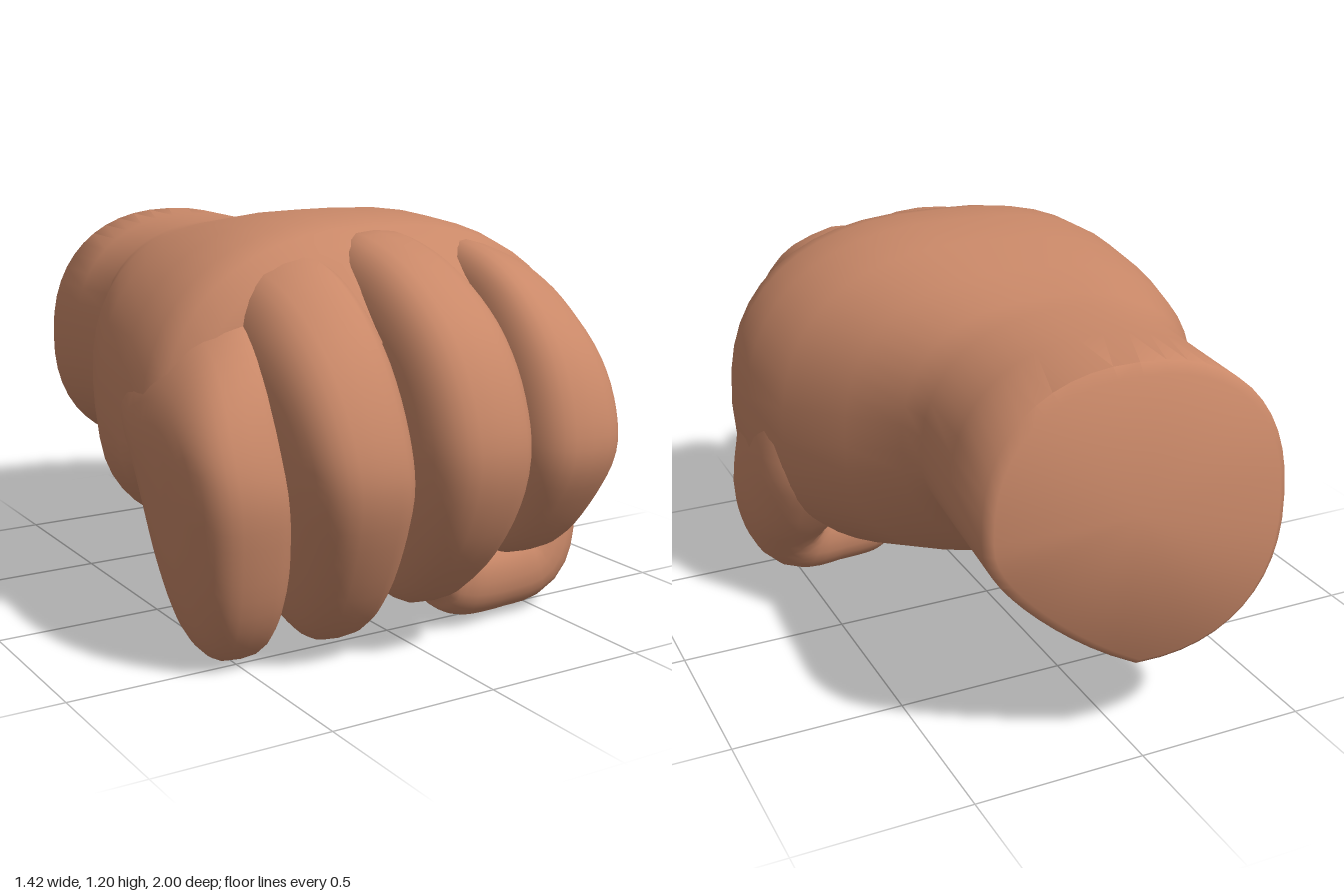
import * as THREE from 'three';
import { toCreasedNormals } from 'three/addons/utils/BufferGeometryUtils.js';

const V = (x, y, z) => new THREE.Vector3(x, y, z);
const spow = (v, e) => Math.sign(v) * Math.abs(v) ** e;

// Skin through closed rings of equal length, with a centre point closing each end.
function loft(rings) {
  const n = rings[0].length;
  const centre = r => r.reduce((s, p) => s.add(p), V(0, 0, 0)).divideScalar(n);
  const first = centre(rings[0]), last = centre(rings.at(-1));
  const pts = [...rings.flat(), first, last];
  const pole = rings.length * n;
  const tris = [];
  for (let j = 0; j < n; j++) {
    const k = (j + 1) % n;
    for (let i = 0; i < rings.length - 1; i++) {
      const a = i * n + j, b = i * n + k, c = a + n, d = b + n;
      tris.push([a, b, d], [a, d, c]);
    }
    const e = pole - n;
    tris.push([pole, k, j], [pole + 1, e + j, e + k]);
  }
  // Turn the faces outward if the enclosed volume is negative
  let volume = 0;
  for (const [a, b, c] of tris) volume += pts[a].dot(V(0, 0, 0).crossVectors(pts[b], pts[c]));
  if (volume < 0) tris.forEach(t => t.reverse());
  const geo = new THREE.BufferGeometry().setFromPoints(pts);
  geo.setIndex(tris.flat());
  return toCreasedNormals(geo, 0.95);
}

// Wrist, palm and knuckle dome: rounded sections along z, slanted across the hand
function palmGeometry() {
  // z, left x, right x, bottom y, middle y, top y, lift of one lower corner (+ right, - left)
  const sections = [
    [-0.96, -0.39, 0.41, 0.30, 0.70, 1.09, 0.2],
    [-0.94, -0.415, 0.435, 0.28, 0.70, 1.12, 0.2],
    [-0.70, -0.43, 0.42, 0.31, 0.71, 1.12, 0.2],
    [-0.47, -0.445, 0.40, 0.35, 0.73, 1.12, 0.15],
    [-0.38, -0.48, 0.42, 0.32, 0.72, 1.125, 0.1],
    [-0.20, -0.58, 0.52, 0.27, 0.68, 1.155, 0],
    [0.00, -0.65, 0.64, 0.205, 0.63, 1.19, 0],
    [0.18, -0.69, 0.695, 0.22, 0.60, 1.21, -0.08],
    [0.34, -0.70, 0.69, 0.30, 0.60, 1.20, -0.12],
    [0.43, -0.685, 0.67, 0.36, 0.60, 1.18, -0.12],
    [0.49, -0.62, 0.61, 0.42, 0.60, 1.14, 0],
    [0.52, -0.51, 0.52, 0.45, 0.60, 1.11, 0],
    [0.60, -0.46, 0.46, 0.48, 0.62, 1.05, 0],
    [0.72, -0.40, 0.40, 0.50, 0.62, 0.93, 0],
  ];
  const N = 48;
  return loft(sections.map(([z, x0, x1, y0, ym, y1, lift]) => {
    const e = 2 / (z < -0.4 ? 2.3 : 2.5);
    const cut = z < -0.9 ? 0.05 : 0;
    return Array.from({ length: N }, (_, i) => {
      const a = i / N * Math.PI * 2;
      const c = spow(Math.cos(a), e), s = spow(Math.sin(a), e);
      const x = (x0 + x1) / 2 + c * (x1 - x0) / 2;
      const y = ym + s * (s > 0 ? y1 - ym : ym - y0) + Math.max(0, lift * c) * Math.max(0, -s);
      const slant = z > 0.1 ? Math.max(x, 0) : x;
      return V(x, y, z + 0.09 * slant + cut * (y - 0.7));
    });
  }));
}

// Curled finger: a side outline (z, y) swelled across its width, leaning with height,
// with the knuckle end pulled sideways (pull) and rolled to the dome's slope (roll)
function fingerGeometry({ x, half, lean, pull, roll, outline }) {
  const curve = new THREE.CatmullRomCurve3(outline.map(([z, y]) => V(0, y, z)), true);
  const loop = curve.getPoints(48).slice(0, -1);
  const mid = loop.reduce((s, p) => s.add(p), V(0, 0, 0)).divideScalar(loop.length);
  const rings = [];
  const steps = 18, e = 2 / 3.2;
  for (let i = 1; i < steps; i++) {
    const a = (i / steps - 0.5) * Math.PI;
    const t = spow(Math.sin(a), e), f = Math.cos(a) ** e;
    rings.push(loop.map(p => {
      const q = p.clone().sub(mid).multiplyScalar(f).add(mid);
      const taper = q.y < 0.5 ? 1 - 0.2 * (0.5 - q.y) : 1;
      const high = Math.max(0, q.y - 0.6);
      const across = t * half * taper;
      return V(x + across + lean * (0.6 - q.y) + pull * high * high,
        q.y + roll * across * Math.min(1, high / 0.4), q.z);
    }));
  }
  return loft(rings);
}

// Thumb: oval tube running down the side of the palm and folding under the fingers
function thumbGeometry() {
  // x, y, z, radius in the bend plane, radius along z
  const stations = [
    [0.42, 0.92, 0.22, 0.12, 0.18],
    [0.495, 0.72, 0.27, 0.165, 0.24],
    [0.525, 0.48, 0.29, 0.175, 0.265],
    [0.54, 0.29, 0.37, 0.155, 0.24],
    [0.49, 0.17, 0.44, 0.145, 0.185],
    [0.36, 0.14, 0.465, 0.13, 0.16],
    [0.25, 0.135, 0.47, 0.125, 0.14],
    [0.19, 0.14, 0.47, 0.10, 0.11],
    [0.165, 0.14, 0.47, 0.06, 0.07],
  ];
  const path = new THREE.CatmullRomCurve3(stations.map(s => V(s[0], s[1], s[2])));
  const size = new THREE.CatmullRomCurve3(stations.map(s => V(s[3], s[4], 0)));
  const M = 32, N = 28;
  return loft(Array.from({ length: M + 1 }, (_, i) => {
    const p = path.getPoint(i / M), r = size.getPoint(i / M);
    const t = path.getTangent(i / M).setZ(0).normalize();
    return Array.from({ length: N }, (_, j) => {
      const a = j / N * Math.PI * 2;
      const u = spow(Math.cos(a), 0.85) * r.x, w = spow(Math.sin(a), 0.85) * r.y;
      return V(p.x + t.y * u, p.y - t.x * u, p.z + w);
    });
  }));
}

const fingers = {
  indexFinger: { x: 0.325, half: 0.17, lean: -0.02, pull: -0.05, roll: -0.35, outline: [
    [0.15, 0.95], [0.4, 1.11], [0.58, 1.1], [0.74, 1.03], [0.9, 0.88], [0.975, 0.72],
    [0.985, 0.58], [0.9, 0.42], [0.78, 0.29], [0.66, 0.25], [0.5, 0.3], [0.3, 0.5]] },
  middleFinger: { x: 0.01, half: 0.182, lean: 0.06, pull: 0, roll: 0, outline: [
    [0.15, 1.0], [0.4, 1.165], [0.58, 1.145], [0.74, 1.075], [0.89, 0.95], [0.975, 0.79],
    [1.0, 0.61], [0.92, 0.4], [0.78, 0.23], [0.64, 0.135], [0.48, 0.16], [0.3, 0.35]] },
  ringFinger: { x: -0.295, half: 0.175, lean: 0.13, pull: 0.1, roll: 0.35, outline: [
    [0.1, 0.93], [0.35, 1.1], [0.52, 1.09], [0.68, 1.01], [0.81, 0.88], [0.89, 0.7],
    [0.9, 0.55], [0.82, 0.34], [0.68, 0.13], [0.56, 0.05], [0.42, 0.08], [0.25, 0.3]] },
  littleFinger: { x: -0.555, half: 0.155, lean: 0.1, pull: 0.6, roll: 0.6, outline: [
    [0.12, 0.82], [0.35, 0.96], [0.52, 0.92], [0.66, 0.78], [0.73, 0.57], [0.7, 0.36],
    [0.62, 0.14], [0.51, 0.025], [0.38, 0.04], [0.28, 0.2], [0.2, 0.5]] },
};

export function createModel() {
  const skin = new THREE.MeshStandardMaterial({ color: 0xc98868 });
  skin.name = 'skin';
  const hand = new THREE.Group();
  hand.name = 'fist';
  const add = (name, geometry) => {
    const mesh = new THREE.Mesh(geometry, skin);
    mesh.name = name;
    hand.add(mesh);
  };
  add('wristAndPalm', palmGeometry());
  for (const [name, finger] of Object.entries(fingers)) add(name, fingerGeometry(finger));
  add('thumb', thumbGeometry());
  return hand;
}
